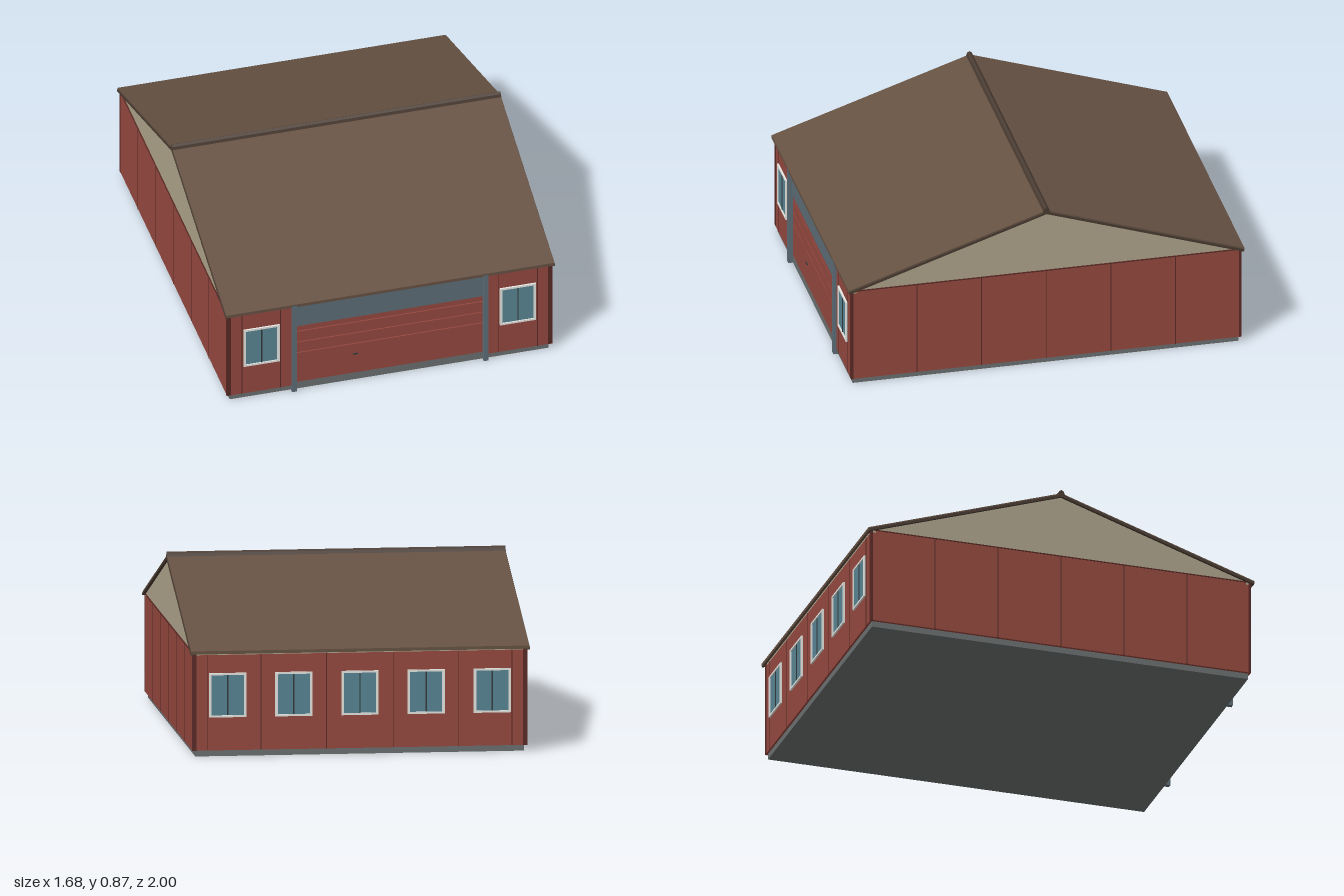
import * as THREE from 'three';

const mat = (color, side = THREE.FrontSide) => new THREE.MeshStandardMaterial({ color, side });
const RED = mat(0x96493f), ROOF = mat(0x665243), TRIM = mat(0x4a3c32), BEIGE = mat(0xb0a58c),
  CONCRETE = mat(0x6c7070), STEEL = mat(0x5f6e78), GLASS = mat(0x598795), WHITE = mat(0xe8e8e4),
  SEAM = mat(0x5a2a25), DARK = mat(0x333a3c);

export function createModel() {
  const root = new THREE.Group();

  const add = (parent, name, geo, material) => {
    const m = new THREE.Mesh(geo, material);
    m.name = name;
    parent.add(m);
    return m;
  };
  // Box given by its limits
  const box = (parent, name, material, x0, x1, y0, y1, z0, z1) => {
    const m = add(parent, name, new THREE.BoxGeometry(x1 - x0, y1 - y0, z1 - z0), material);
    m.position.set((x0 + x1) / 2, (y0 + y1) / 2, (z0 + z1) / 2);
    return m;
  };
  const rectPoints = (x0, x1, y0, y1) => [[x0, y0], [x1, y0], [x1, y1], [x0, y1]].map(p => new THREE.Vector2(...p));
  // Flat panel with rectangular openings, its face at z
  const panel = (parent, name, material, rect, openings, z, depth) => {
    const shape = new THREE.Shape(rectPoints(...rect));
    openings.forEach(o => shape.holes.push(new THREE.Path(rectPoints(...o))));
    const m = add(parent, name, new THREE.ExtrudeGeometry(shape, { depth, bevelEnabled: false }), material);
    m.position.z = z - depth;
    return m;
  };
  // Profile in (z, y) swept along x
  const sweep = (name, material, pts, x0, x1) => {
    const geo = new THREE.ExtrudeGeometry(new THREE.Shape(pts.map(p => new THREE.Vector2(...p))),
      { depth: x1 - x0, bevelEnabled: false });
    geo.rotateY(-Math.PI / 2);
    return add(root, name, geo, material).position.x = x1;
  };

  const W = 0.83, D = 0.985, Y0 = 0.03, Y1 = 0.52;
  const WY0 = 0.195, WY1 = 0.415, HALF = 0.092;

  // Slab
  box(root, 'foundation', CONCRETE, -0.815, 0.815, 0, 0.04, -0.975, 0.975);

  // Two-pane sliding window
  const addWindow = (parent, cx) => {
    const g = new THREE.Group();
    g.name = 'window';
    parent.add(g);
    const x0 = cx - HALF, x1 = cx + HALF;
    panel(g, 'windowFrame', WHITE, [x0, x1, WY0, WY1], [[x0 + 0.012, x1 - 0.012, WY0 + 0.01, WY1 - 0.01]], 0.994, 0.03);
    box(g, 'glass', GLASS, x0 + 0.005, x1 - 0.005, WY0 + 0.005, WY1 - 0.005, 0.975, 0.988);
    box(g, 'mullion', DARK, cx - 0.003, cx + 0.003, WY0 + 0.01, WY1 - 0.01, 0.98, 0.991);
  };
  const opening = cx => [cx - HALF, cx + HALF, WY0, WY1];
  const seam = (parent, x) => box(parent, 'wallSeam', SEAM, x - 0.002, x + 0.002, Y0, 0.505, D - 0.01, D + 0.002);

  // Front wall: one windowed panel on each side of the door
  const front = new THREE.Group();
  front.name = 'frontWall';
  root.add(front);
  for (const s of [-1, 1]) {
    const cx = s * 0.655;
    panel(front, 'wallPanel', RED, s > 0 ? [0.5, W, Y0, 0.505] : [-W, -0.5, Y0, 0.505], [opening(cx)], D, 0.02);
    addWindow(front, cx);
    seam(front, s * 0.558);
    seam(front, s * 0.755);
    box(front, 'doorPost', STEEL, s * 0.49 - 0.012, s * 0.49 + 0.012, 0, Y1, 0.95, 1.0);
    box(front, 'eaveTrim', BEIGE, s * 0.665 - 0.165, s * 0.665 + 0.165, 0.505, Y1, 0.96, 0.983);
  }

  // Sectional door with a steel header over it
  box(front, 'doorHeader', STEEL, -0.48, 0.48, 0.38, 0.525, 0.95, 0.98);
  box(front, 'doorBacking', DARK, -0.48, 0.48, 0.02, 0.38, 0.945, 0.965);
  const joints = [0.025, 0.217, 0.281, 0.346, 0.382];
  for (let i = 0; i < 4; i++)
    box(front, 'doorSection', RED, -0.478, 0.478, joints[i] + 0.002, joints[i + 1] - 0.003, 0.955, 0.975);
  box(front, 'doorHandle', DARK, -0.185, -0.16, 0.152, 0.158, 0.97, 0.98);

  // Back wall with five windows
  const back = new THREE.Group();
  back.name = 'backWall';
  back.rotation.y = Math.PI;
  root.add(back);
  const centres = [-2, -1, 0, 1, 2].map(i => i * 0.328);
  panel(back, 'wallPanel', RED, [-W, W, Y0, 0.505], centres.map(opening), D, 0.02);
  centres.forEach(cx => addWindow(back, cx));
  [-0.755, -0.49, -0.165, 0.165, 0.49, 0.755].forEach(x => seam(back, x));
  box(back, 'eaveTrim', BEIGE, -W, W, 0.505, Y1, 0.96, 0.983);

  // Side walls in six bays
  for (const s of [-1, 1]) {
    const side = new THREE.Group();
    side.name = s > 0 ? 'leftWall' : 'rightWall';
    root.add(side);
    const slab = (name, m, out, y0, y1, z0, z1) =>
      box(side, name, m, s > 0 ? W - 0.02 : -W - out, s > 0 ? W + out : -W + 0.02, y0, y1, z0, z1);
    slab('wallPanel', RED, 0, Y0, Y1, -D + 0.001, D - 0.001);
    for (let i = -2; i <= 2; i++) slab('wallSeam', SEAM, 0.002, Y0, Y1, i * 0.327 - 0.002, i * 0.327 + 0.002);
    for (const e of [-1, 1]) slab('cornerTrim', SEAM, 0.002, Y0, Y1, e * 0.98 - 0.006, e * 0.98 + 0.006);
    slab('gableSill', SEAM, 0.003, 0.516, 0.521, -D, D);
    // Gable
    const x = s * 0.818;
    sweep('gable', BEIGE, [[-0.98, 0.515], [0.98, 0.515], [0, 0.84]], x - 0.01, x + 0.01);
    // Dark verge board
    const v = s * 0.832;
    sweep('vergeBoard', TRIM, [[-0.998, 0.507], [0, 0.837], [0.998, 0.507], [0.998, 0.52], [0, 0.85], [-0.998, 0.52]], v - 0.009, v + 0.009);
  }

  // Roof and ridge cap
  sweep('roof', ROOF, [[-1, 0.511], [0, 0.841], [1, 0.511], [1, 0.527], [0, 0.857], [-1, 0.527]], -0.838, 0.838);
  sweep('ridgeCap', TRIM, [[-0.018, 0.848], [0.018, 0.848], [0.012, 0.866], [0, 0.874], [-0.012, 0.866]], -0.84, 0.84);

  return root;
}
